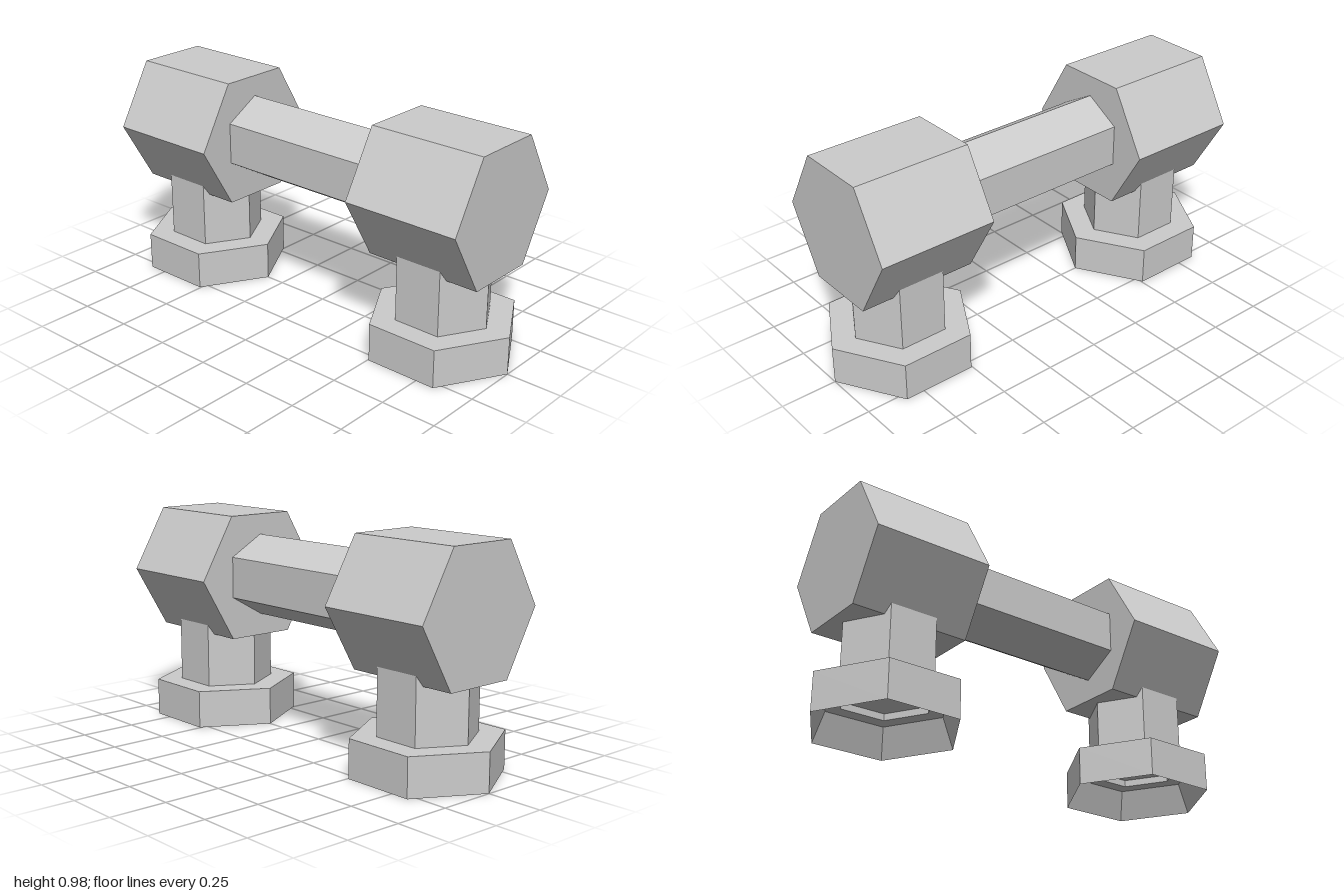
import * as THREE from 'three';

const material = new THREE.MeshStandardMaterial({ color: 0xcccccc, flatShading: true });

// Hexagonal prism standing along y
function hexPrism(radius, length, turn = 0) {
  return new THREE.CylinderGeometry(radius, radius, length, 6, 1, false, turn);
}

function add(parent, name, geometry, x, y, z) {
  const mesh = new THREE.Mesh(geometry, material);
  mesh.name = name;
  mesh.position.set(x, y, z);
  parent.add(mesh);
  return mesh;
}

export function createModel() {
  const group = new THREE.Group();
  group.name = 'hexagonalHandle';

  // Grip bar, with an edge at top and bottom
  add(group, 'gripBar', hexPrism(0.185, 0.84).rotateX(Math.PI / 2), 0, 0.7, 0);

  // Foot profile: stepped recess underneath, outer wall, flat top
  const footProfile = [
    [0, 0.16], [0.205, 0.16], [0.205, 0.13], [0.277, 0.13],
    [0.33, 0], [0.33, 0.17], [0, 0.17],
  ].map(([r, y]) => new THREE.Vector2(r, y));

  for (const side of [1, -1]) {
    const support = new THREE.Group();
    support.name = side > 0 ? 'frontSupport' : 'backSupport';
    support.position.z = side * 0.67;
    group.add(support);

    // Head block, flat on top
    const head = hexPrism(0.324, 0.535, Math.PI / 6).rotateX(Math.PI / 2);
    add(support, 'headBlock', head, 0, 0.697, 0);

    // Column from the foot into the head
    add(support, 'column', hexPrism(0.216, 0.33), 0, 0.33, 0);

    // Hollow foot
    add(support, 'foot', new THREE.LatheGeometry(footProfile, 6), 0, 0, 0);
  }
  return group;
}
